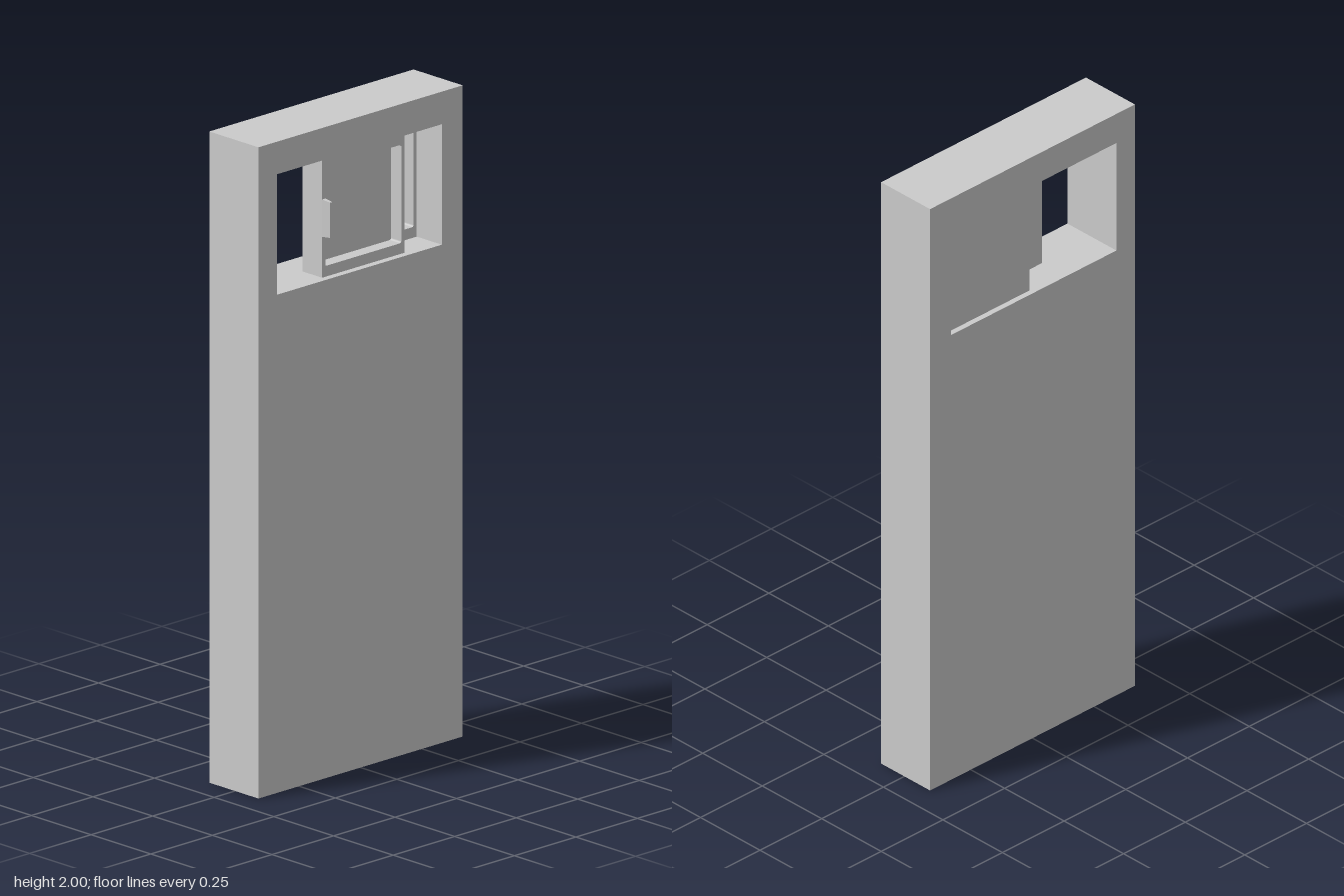
import * as THREE from 'three';

const grey = new THREE.MeshStandardMaterial({ color: 0xcccccc, flatShading: true });

// Traces a rectangle, optionally with rounded corners
function rect(path, x0, y0, x1, y1, r = 0) {
  if (r === 0) {
    path.moveTo(x0, y0).lineTo(x1, y0).lineTo(x1, y1).lineTo(x0, y1).lineTo(x0, y0);
    return path;
  }
  path.moveTo(x0 + r, y0).lineTo(x1 - r, y0);
  path.absarc(x1 - r, y0 + r, r, -Math.PI / 2, 0);
  path.absarc(x1 - r, y1 - r, r, 0, Math.PI / 2);
  path.absarc(x0 + r, y1 - r, r, Math.PI / 2, Math.PI);
  path.absarc(x0 + r, y0 + r, r, Math.PI, Math.PI * 1.5);
  return path;
}

// Extrudes a shape from z0 to z1
function slab(name, shape, z0, z1) {
  const geometry = new THREE.ExtrudeGeometry(shape, { depth: z1 - z0, bevelEnabled: false, curveSegments: 4 });
  geometry.translate(0, 0, z0);
  const mesh = new THREE.Mesh(geometry, grey);
  mesh.name = name;
  return mesh;
}

const Y0 = 1.53, Y1 = 1.9;     // window opening height
const SASH_W = 0.335, SASH_D = 0.083, PANE_D = 0.04;

// Window panel: a rim around a recessed pane, flat at the back
function sash(name, x0, z0) {
  const group = new THREE.Group();
  group.name = name;
  const x1 = x0 + SASH_W;
  const rim = rect(new THREE.Shape(), x0, Y0, x1, Y1);
  rim.holes.push(rect(new THREE.Path(), x0 + 0.013, Y0 + 0.033, x1 - 0.013, Y1 - 0.035, 0.006));
  group.add(slab('sashRim', rim, z0 + PANE_D, z0 + SASH_D));
  group.add(slab('sashPane', rect(new THREE.Shape(), x0, Y0, x1, Y1), z0, z0 + PANE_D));
  return group;
}

export function createModel() {
  const model = new THREE.Group();
  model.name = 'wallWithSlidingWindow';

  // Wall with the window opening
  const wall = rect(new THREE.Shape(), -0.415, 0, 0.415, 2);
  wall.holes.push(rect(new THREE.Path(), -0.34, Y0, 0.33, Y1));
  model.add(slab('wall', wall, -0.108, 0.098));

  // Two sashes sliding on neighbouring tracks
  model.add(sash('rearSash', -0.005, -0.09));
  model.add(sash('frontSash', -0.135, -0.007));

  // Pull handle on the front sash, tapering towards its tip
  const grip = new THREE.BoxGeometry(0.014, 0.115, 0.032);
  const p = grip.attributes.position;
  for (let i = 0; i < p.count; i++) {
    if (p.getZ(i) > 0) p.setXY(i, p.getX(i) * 0.65, p.getY(i) * 0.94);
  }
  grip.computeVertexNormals();
  const handle = new THREE.Mesh(grip, grey);
  handle.name = 'handle';
  handle.position.set(-0.128, 1.713, 0.091);
  model.add(handle);

  return model;
}
